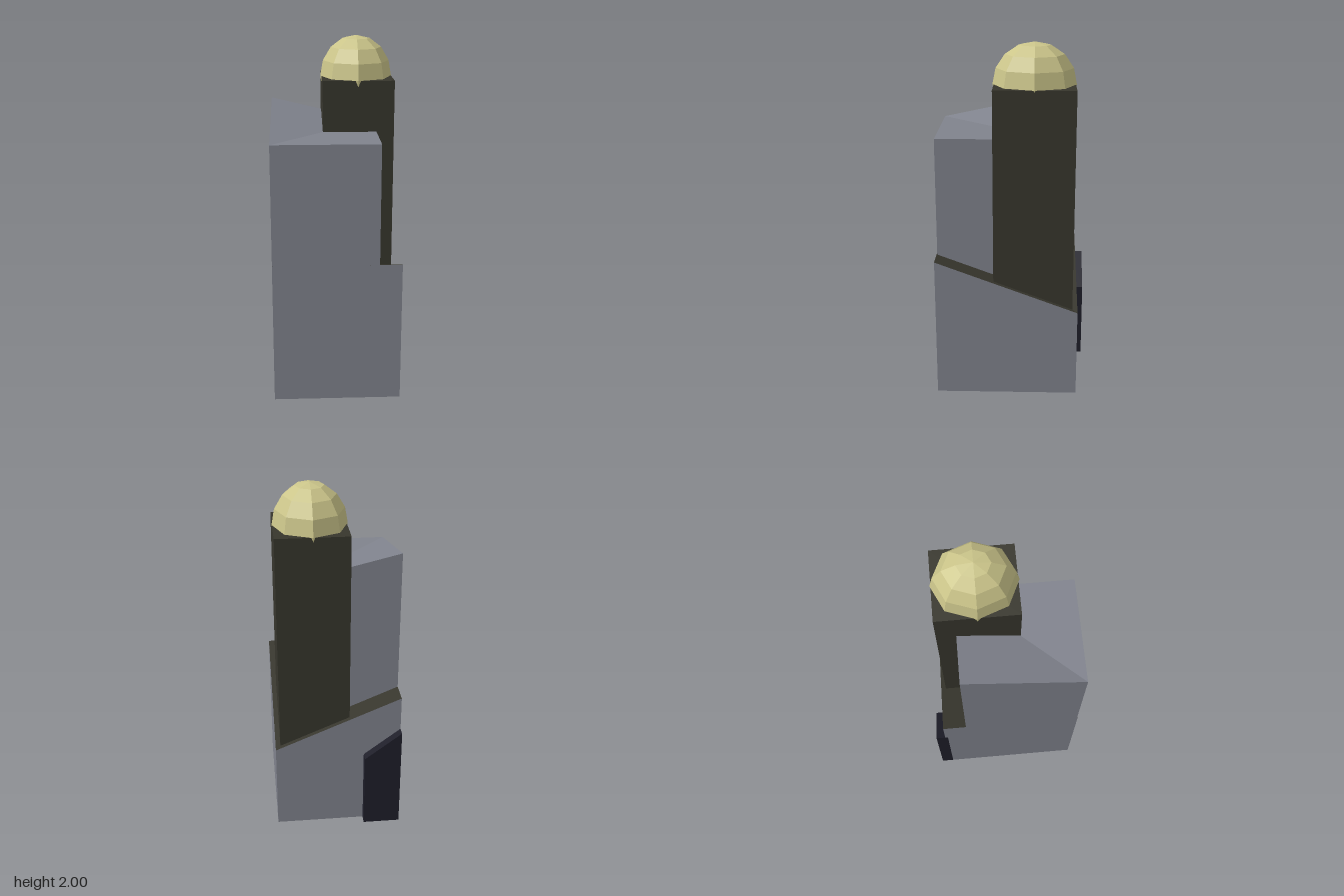
import * as THREE from 'three';

const material = (name, color) => {
  const m = new THREE.MeshStandardMaterial({ color });
  m.name = name;
  return m;
};

// Box between two corners; topHeight(isLeft, isBack) sets each upper corner.
// isLeft means the +x side, isBack the -z side.
function block(name, [x0, x1], y0, [z0, z1], topHeight, materials) {
  const box = new THREE.BoxGeometry(1, 1, 1);
  const p = box.attributes.position;
  for (let i = 0; i < p.count; i++) {
    const left = p.getX(i) > 0;
    const back = p.getZ(i) < 0;
    const y = p.getY(i) > 0 ? topHeight(left, back) : y0;
    p.setXYZ(i, left ? x1 : x0, y, back ? z0 : z1);
  }
  const geometry = box.toNonIndexed();
  geometry.computeVertexNormals();
  const mesh = new THREE.Mesh(geometry, materials);
  mesh.name = name;
  return mesh;
}

export function createModel() {
  const stone = material('grey stone', 0x80838d);
  const dark = material('dark olive', 0x37362d);
  const gold = material('pale gold', 0xcbc58a);
  const navy = material('dark navy', 0x1e1e29);

  const group = new THREE.Group();
  group.name = 'domedTowerBuilding';

  // Wide base: grey walls, dark roof dipping at the back left corner
  group.add(block('base', [-0.36, 0.357], 0, [-0.377, 0.428],
    (left, back) => (left && back ? 0.51 : 0.81),
    [stone, stone, dark, stone, stone, stone]));

  // Upper storey: roof rises at the back right corner
  group.add(block('upperStorey', [-0.36, 0.232], 0.45, [-0.241, 0.424],
    (left, back) => (!left && back ? 1.627 : 1.485), stone));

  // Tall square tower
  group.add(block('tower', [-0.069, 0.33], 0.4, [-0.348, 0.1], () => 1.77, dark));

  // Faceted dome on the tower
  const domeGeometry = new THREE.SphereGeometry(1, 8, 8).toNonIndexed();
  domeGeometry.scale(0.204, 0.23, 0.23);
  domeGeometry.computeVertexNormals();
  const dome = new THREE.Mesh(domeGeometry, gold);
  dome.name = 'dome';
  dome.position.set(0.128, 1.77, -0.123);
  group.add(dome);

  // Small annex with a sloping top on the back wall
  group.add(block('backAnnex', [-0.36, -0.15], 0, [-0.43, -0.36],
    (left) => (left ? 0.45 : 0.61), navy));

  return group;
}
